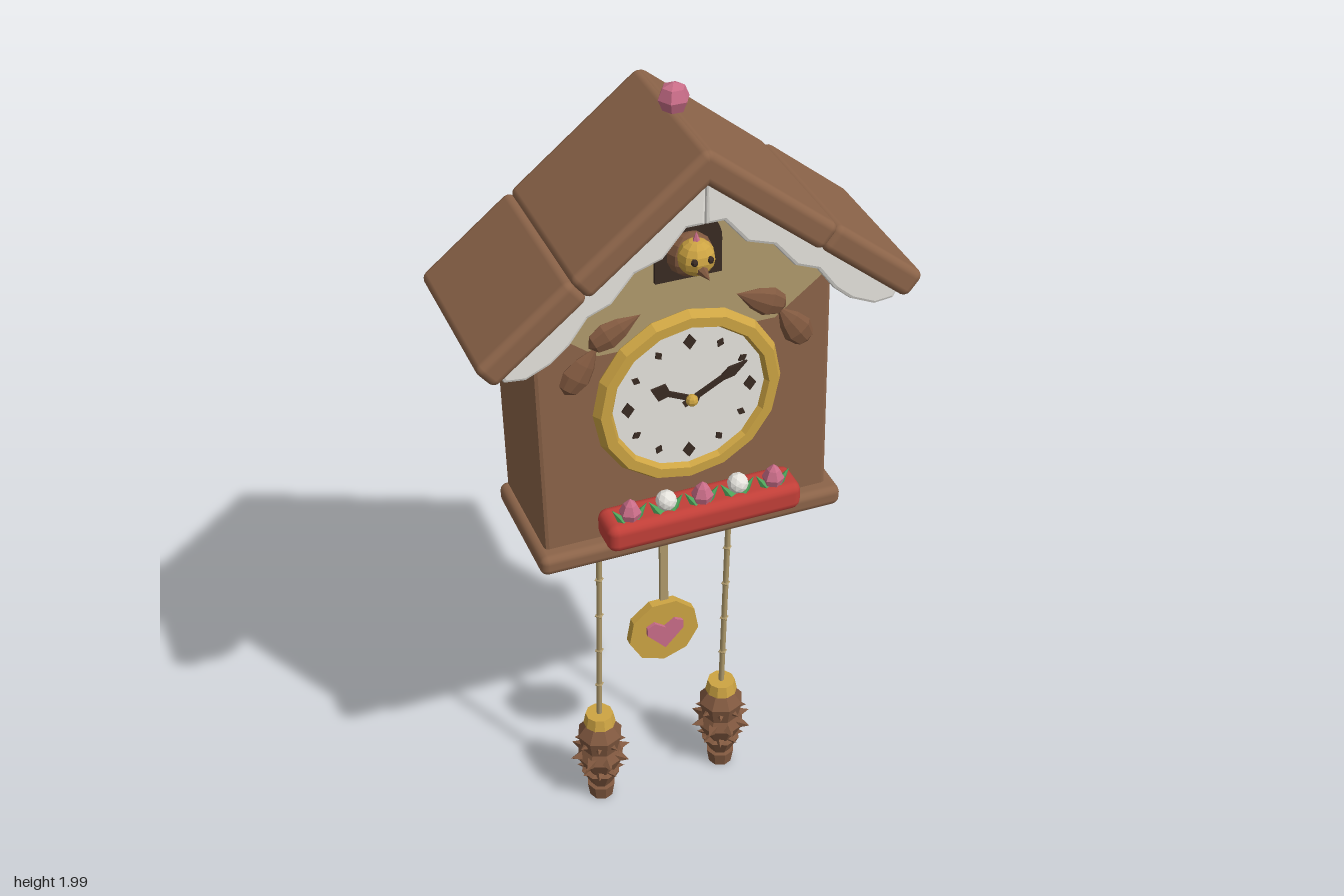
import * as THREE from 'three';
import { RoundedBoxGeometry } from 'three/addons/geometries/RoundedBoxGeometry.js';

const mat = (name, color, flatShading = false) => {
  const m = new THREE.MeshStandardMaterial({ color, flatShading });
  m.name = name;
  return m;
};

export function createModel() {
  const wood = mat('brown wood', 0x8c6449);
  const carved = mat('carved wood', 0x80583f, true);
  const gold = mat('gold', 0xcda443, true);
  const dark = mat('dark brown', 0x3a2b23, true);
  const white = mat('snow white', 0xe6e4de, true);
  const tan = mat('tan', 0xb09b6c);
  const red = mat('red', 0xc23f38);
  const pink = mat('pink', 0xc96d88, true);
  const green = mat('leaf green', 0x4fa65c, true);

  const root = new THREE.Group();
  root.name = 'cuckooClock';
  const add = (name, geo, material, x = 0, y = 0, z = 0, parent = root) => {
    const m = new THREE.Mesh(geo, material);
    m.name = name;
    m.position.set(x, y, z);
    parent.add(m);
    return m;
  };
  const poly = (pts) => new THREE.Shape(pts.map(([x, y]) => new THREE.Vector2(x, y)));
  const plate = (shape, depth, bevel = 0) => new THREE.ExtrudeGeometry(shape, {
    depth, curveSegments: 8, bevelEnabled: bevel > 0,
    bevelSize: bevel, bevelThickness: bevel, bevelOffset: -bevel, bevelSegments: 2,
  });
  const lathe = (pts, seg) =>
    new THREE.LatheGeometry(pts.map(([r, y]) => new THREE.Vector2(r, y)), seg);

  // House body with pointed gable, and the base board
  const house = poly([[-0.33, 0.94], [0.345, 0.94], [0.332, 1.6], [0, 1.88], [-0.342, 1.6]]);
  add('houseBody', plate(house, 0.25, 0.01), wood, 0, 0, -0.19);
  add('baseBoard', new RoundedBoxGeometry(0.72, 0.05, 0.31, 2, 0.018), wood, 0.01, 0.94, -0.05);
  add('gablePanel', plate(poly([[-0.315, 1.54], [-0.2, 1.45], [0.2, 1.45], [0.315, 1.54],
    [0.3, 1.61], [0, 1.86], [-0.3, 1.61]]), 0.008), tan, 0, 0, 0.07);

  // Roof slabs: an upper and a lower board on each slope
  const slope = Math.atan(0.806), c = Math.cos(slope), s = Math.sin(slope), thick = 0.065;
  for (const side of [-1, 1]) {
    for (const [name, from, to, lift] of [['upperRoofBoard', 0, 0.375, 0], ['lowerRoofBoard', 0.37, 0.633, 0.003]]) {
      const mid = (from + to) / 2, drop = thick / 2 - lift;
      const board = add(name, new RoundedBoxGeometry(to - from, thick, 0.395, 2, 0.018), wood,
        side * (c * mid - s * drop), 1.945 - s * mid - c * drop, -0.0075);
      board.rotation.z = -side * slope;
    }
    // Ragged snow trim under the front edge
    const snow = [[0, 1.88], [0.442, 1.525], [0.43, 1.5], [0.385, 1.495], [0.33, 1.52], [0.29, 1.555],
      [0.25, 1.61], [0.2, 1.63], [0.15, 1.69], [0.09, 1.71], [0.04, 1.77], [0, 1.77]];
    add('snowTrim', plate(poly(snow.map(([x, y]) => [side * x, y])), 0.03, 0.008), white, 0, 0, 0.135);
  }
  add('ridgeBall', new THREE.SphereGeometry(0.034, 6, 4), pink, 0, 1.966, 0);

  // Arched doorway with the bird looking out
  const arch = poly([[-0.075, 1.6], [0.072, 1.6], [0.072, 1.68]]);
  arch.absarc(-0.0015, 1.68, 0.0735, 0, Math.PI, false);
  add('doorway', plate(arch, 0.008), dark, 0, 0, 0.079);
  const bird = new THREE.Group();
  bird.name = 'bird';
  bird.position.set(-0.003, 1.675, 0.1);
  root.add(bird);
  add('birdBody', new THREE.SphereGeometry(0.05, 10, 7), carved, 0, -0.012, -0.005, bird).scale.z = 0.7;
  add('birdHead', new THREE.SphereGeometry(0.04, 10, 8), gold, 0, 0, 0.03, bird);
  add('birdBeak', new THREE.ConeGeometry(0.016, 0.05, 6).rotateX(Math.PI / 2), carved, 0, -0.014, 0.078, bird);
  for (const side of [-1, 1])
    add('birdEye', new THREE.SphereGeometry(0.008, 6, 5), dark, side * 0.017, 0.008, 0.064, bird);
  add('birdCrest', new THREE.ConeGeometry(0.01, 0.025, 5), pink, 0, 0.046, 0.03, bird);

  // Clock dial, rim and markers
  const dial = new THREE.Group();
  dial.name = 'dial';
  dial.position.set(0, 1.305, 0);
  root.add(dial);
  add('clockFace', new THREE.CylinderGeometry(0.185, 0.185, 0.022, 24).rotateX(Math.PI / 2), white, 0, 0, 0.078, dial);
  add('clockRim', new THREE.TorusGeometry(0.193, 0.023, 6, 16), gold, 0, 0, 0.082, dial);
  for (let i = 0; i < 12; i++) {
    const a = i * Math.PI / 6, r = i % 3 ? 0.011 : 0.019;
    const mark = add('hourMark', plate(poly([[0, r], [-r * 0.75, 0], [0, -r], [r * 0.75, 0]]), 0.005), dark,
      Math.sin(a) * 0.14, Math.cos(a) * 0.14, 0.088, dial);
    mark.rotation.z = i % 3 ? -a : 0;
  }
  // Spade-tipped hands pointing up before turning
  const hand = (name, len, w, angle, z) => {
    const pts = [[-0.006, -0.02], [0.006, -0.02], [0.006, len * 0.55], [w, len * 0.72], [0, len],
      [-w, len * 0.72], [-0.006, len * 0.55]];
    add(name, plate(poly(pts), 0.006), dark, 0, 0, z, dial).rotation.z = angle;
  };
  hand('hourHand', 0.1, 0.021, 1.13, 0.094);
  hand('minuteHand', 0.145, 0.013, -1.07, 0.1);
  add('handHub', new THREE.SphereGeometry(0.014, 8, 6), gold, 0, 0, 0.106, dial);

  // Carved leaves beside the dial
  const leaf = lathe([[0, -0.06], [0.024, -0.046], [0.034, -0.015], [0.025, 0.02], [0.009, 0.05], [0, 0.068]], 8);
  for (const side of [-1, 1])
    for (const [x, y, turn] of [[0.168, 1.505, 1.12], [0.242, 1.425, 0.62]]) {
      const m = add('carvedLeaf', leaf, carved, side * x, y, 0.085);
      m.rotation.z = side * turn;
      m.scale.z = 0.55;
    }

  // Flower box with tulips and greenery
  add('flowerBox', new RoundedBoxGeometry(0.455, 0.07, 0.095, 2, 0.022), red, 0.012, 1.025, 0.127);
  const bud = lathe([[0, -0.025], [0.02, -0.016], [0.025, 0], [0.015, 0.02], [0, 0.034]], 6);
  const bloom = new THREE.IcosahedronGeometry(0.024, 1);
  for (let i = 0; i < 5; i++) {
    const x = -0.16 + i * 0.084;
    if (i % 2) add('whiteFlower', bloom, white, x, 1.088, 0.148);
    else add('pinkFlower', bud, pink, x, 1.083, 0.15);
    for (const side of [-1, 1]) {
      const g = add('flowerLeaf', new THREE.ConeGeometry(0.014, 0.05, 5), green, x + side * 0.026, 1.072, 0.145);
      g.rotation.z = -side * 0.6;
    }
  }

  // Pendulum with a heart on its disc
  add('pendulumRod', new THREE.BoxGeometry(0.02, 0.36, 0.01), tan, 0.006, 0.765, -0.08);
  add('pendulumDisc', new THREE.CylinderGeometry(0.09, 0.09, 0.022, 9).rotateX(Math.PI / 2), gold, 0, 0.515, -0.072);
  add('pendulumHeart', plate(poly([[0, -0.046], [0.046, 0.004], [0.046, 0.026], [0.026, 0.036], [0, 0.018],
    [-0.026, 0.036], [-0.046, 0.026], [-0.046, 0.004]]), 0.009), pink, 0, 0.515, -0.061);

  // Two chains carrying pine cone weights
  const up = new THREE.Vector3(0, 1, 0);
  const coneProfile = [[0, 0.01], [0.03, 0.012], [0.036, 0.05], [0.026, 0.052], [0.05, 0.1], [0.038, 0.104],
    [0.06, 0.15], [0.046, 0.175], [0.057, 0.222], [0.032, 0.255], [0, 0.258]];
  for (const x of [-0.165, 0.16]) {
    const top = new THREE.Vector3(x + 0.014, 0.93, -0.08), end = new THREE.Vector3(x, 0.27, -0.08);
    const dir = top.clone().sub(end);
    const turn = new THREE.Quaternion().setFromUnitVectors(up, dir.clone().normalize());
    const mid = top.clone().lerp(end, 0.5);
    add('chain', new THREE.CylinderGeometry(0.007, 0.007, dir.length(), 6), tan, mid.x, mid.y, mid.z)
      .quaternion.copy(turn);
    for (let i = 1; i < 6; i++) {
      const p = end.clone().lerp(top, i / 6);
      add('chainKnot', new THREE.OctahedronGeometry(0.012), tan, p.x, p.y, p.z);
    }
    add('weightCap', new THREE.CylinderGeometry(0.034, 0.04, 0.03, 10), gold, x, 0.27, -0.08);
    add('pineCone', lathe(coneProfile, 8), carved, x, 0, -0.08);
    // Scales standing out around the cone
    for (const [y, r, size, shift] of [[0.155, 0.056, 0.045, 0], [0.105, 0.044, 0.03, 0.5], [0.2, 0.05, 0.028, 0.5]])
      for (let i = 0; i < 8; i++) {
        const a = (i + shift) * Math.PI / 4;
        const out = new THREE.Vector3(Math.cos(a), 0, Math.sin(a));
        add('coneScale', new THREE.ConeGeometry(size * 0.5, size, 4), carved,
          x + out.x * r, y, -0.08 + out.z * r).quaternion.setFromUnitVectors(up, out);
      }
  }
  return root;
}
